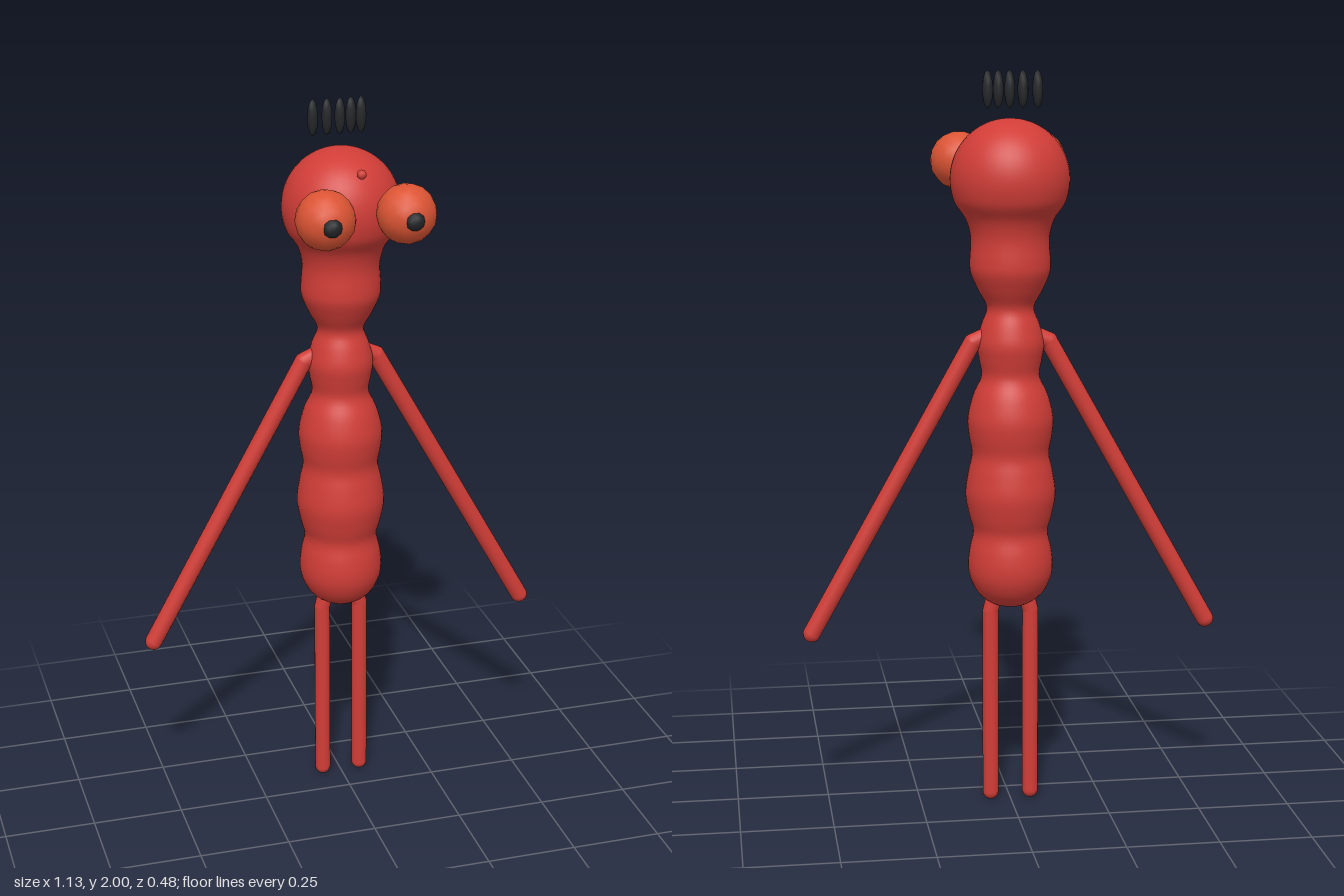
import * as THREE from 'three';

export function createModel() {
  const model = new THREE.Group();
  const red = new THREE.MeshStandardMaterial({ color: 0xd13d37 });
  red.name = 'red skin';
  const orange = new THREE.MeshStandardMaterial({ color: 0xdc5434 });
  orange.name = 'orange eye';
  const black = new THREE.MeshStandardMaterial({ color: 0x242628 });
  black.name = 'black';

  const add = (name, geometry, material, x = 0, y = 0, z = 0) => {
    const mesh = new THREE.Mesh(geometry, material);
    mesh.name = name;
    mesh.position.set(x, y, z);
    model.add(mesh);
    return mesh;
  };

  // Round-ended limb between two points
  const limb = (name, a, b, radius) => {
    const from = new THREE.Vector3(...a), to = new THREE.Vector3(...b);
    const dir = to.clone().sub(from);
    const mesh = add(name, new THREE.CapsuleGeometry(radius, dir.length(), 6, 16), red);
    mesh.position.copy(from).add(to).multiplyScalar(0.5);
    mesh.quaternion.setFromUnitVectors(new THREE.Vector3(0, 1, 0), dir.normalize());
  };

  // Lumpy body and head as one lathe: [radius, height]
  const profile = [
    [0, 0.555], [0.045, 0.562], [0.085, 0.59], [0.108, 0.63], [0.115, 0.67], [0.111, 0.715],
    [0.101, 0.765], [0.112, 0.81], [0.122, 0.87], [0.114, 0.93], [0.104, 0.98], [0.112, 1.03],
    [0.115, 1.08], [0.1, 1.14], [0.078, 1.19], [0.084, 1.235], [0.09, 1.28], [0.078, 1.33],
    [0.063, 1.375], [0.085, 1.42], [0.105, 1.465], [0.108, 1.5], [0.105, 1.56], [0.118, 1.61],
  ].map(([r, y]) => new THREE.Vector2(r, y));
  for (let i = 0; i <= 10; i++) {
    const t = -0.43 + (i / 10) * (Math.PI / 2 + 0.43);
    profile.push(new THREE.Vector2(0.159 * Math.cos(t), 1.715 + 0.159 * Math.sin(t)));
  }
  const outline = new THREE.SplineCurve(profile).getPoints(130);
  outline.forEach((p) => { p.x = Math.max(p.x, 0); });
  const body = new THREE.LatheGeometry(outline, 40);
  // The head sits slightly further forward than the torso
  const pos = body.attributes.position;
  for (let i = 0; i < pos.count; i++) {
    const shift = THREE.MathUtils.smoothstep(pos.getY(i), 1.25, 1.65) * 0.01;
    pos.setZ(i, pos.getZ(i) - 0.092 + shift);
  }
  add('bodyAndHead', body, red);

  for (const [side, s] of [['left', 1], ['right', -1]]) {
    // Arm with a short shoulder running into the chest
    limb(side + 'Arm', [s * 0.103, 1.283, -0.096], [s * 0.543, 0.497, -0.096], 0.024);
    limb(side + 'Shoulder', [s * 0.03, 1.315, -0.096], [s * 0.103, 1.283, -0.096], 0.024);
    // Leg with a small hip joint
    limb(side + 'Leg', [s * 0.055, 0.022, -0.092], [s * 0.055, 0.54, -0.092], 0.022);
    limb(side + 'Hip', [s * 0.055, 0.54, -0.092], [s * 0.04, 0.6, -0.092], 0.022);
    // Floating eye with pupil
    add(side + 'Eye', new THREE.IcosahedronGeometry(0.079, 2), orange, s * 0.108, 1.748, 0.149);
    add(side + 'Pupil', new THREE.IcosahedronGeometry(0.027, 1), black, s * 0.109, 1.746, 0.213);
  }

  add('nose', new THREE.IcosahedronGeometry(0.013, 1), red, 0, 1.848, 0.108);

  // Row of upright hair tufts
  for (const x of [-0.069, -0.03, 0.005, 0.035, 0.063]) {
    const hair = add('hair', new THREE.IcosahedronGeometry(0.05, 1), black, x, 1.95, -0.109);
    hair.scale.set(0.29, 1, 0.29);
  }
  return model;
}
